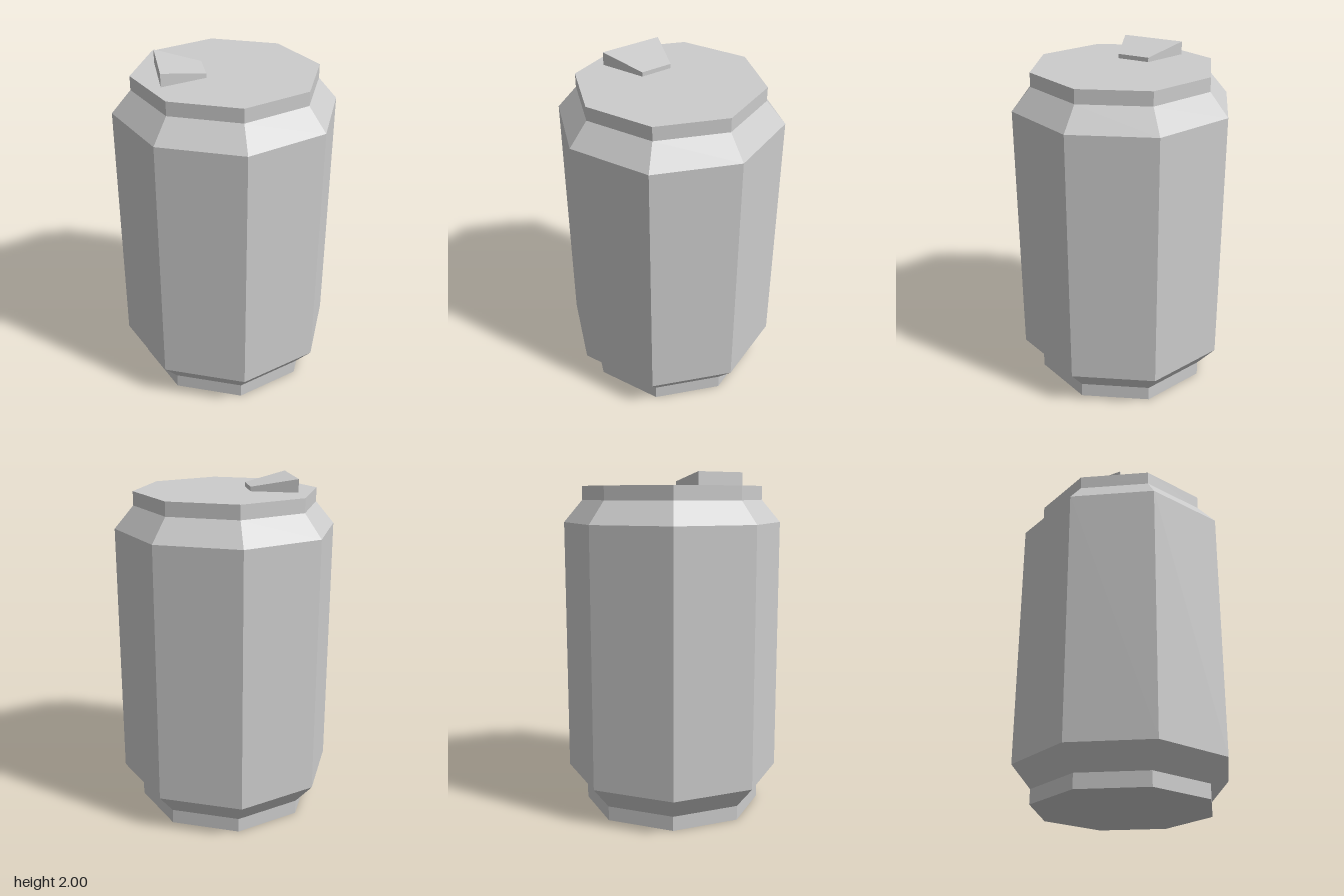
import * as THREE from 'three';

export function createModel() {
  const group = new THREE.Group();
  const material = new THREE.MeshStandardMaterial({ color: 0xcccccc, flatShading: true });

  // Eight-sided can: narrow rims, sloped shoulders and a straight wall
  const profile = [
    [0, 0], [0.53, 0], [0.53, 0.085], [0.64, 0.215],
    [0.64, 1.715], [0.53, 1.845], [0.53, 1.925], [0, 1.925],
  ].map(([r, y]) => new THREE.Vector2(r, y));
  const body = new THREE.Mesh(new THREE.LatheGeometry(profile, 8), material);
  body.name = 'canBody';
  group.add(body);

  // Pull tab: a wedge, tall and wide at the rim, low and narrow at the centre
  const outer = -0.38, inner = -0.125;
  const side = new THREE.Shape([
    new THREE.Vector2(outer, 1.92), new THREE.Vector2(inner, 1.92),
    new THREE.Vector2(inner, 1.95), new THREE.Vector2(outer, 2),
  ]);
  const tabGeometry = new THREE.ExtrudeGeometry(side, { depth: 2, bevelEnabled: false });
  tabGeometry.translate(0, 0, -1);
  const p = tabGeometry.attributes.position;
  for (let i = 0; i < p.count; i++) {
    const t = (p.getX(i) - outer) / (inner - outer);
    p.setZ(i, p.getZ(i) * THREE.MathUtils.lerp(0.187, 0.095, t));
  }
  tabGeometry.computeVertexNormals();
  const tab = new THREE.Mesh(tabGeometry, material);
  tab.name = 'pullTab';
  group.add(tab);

  return group;
}
